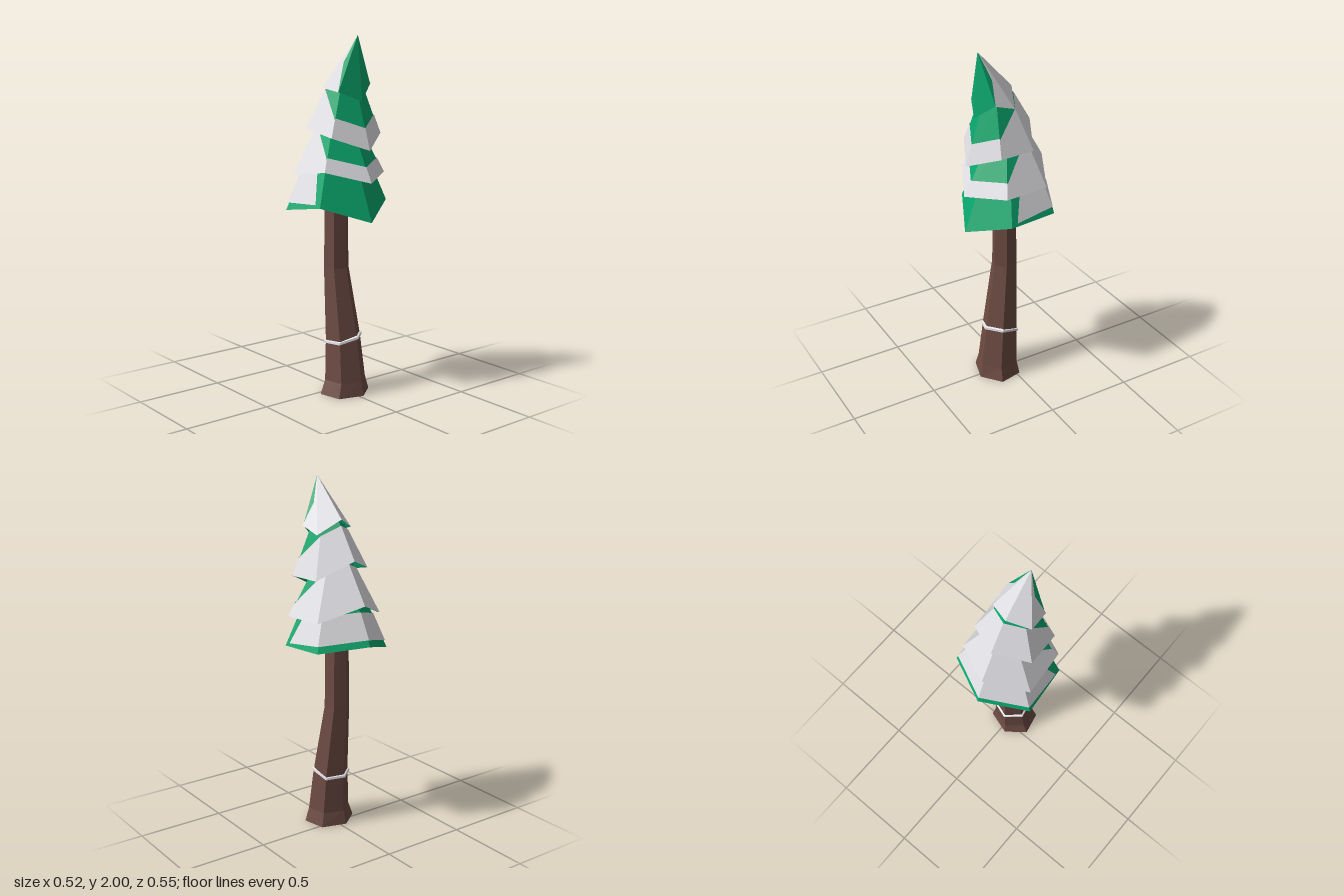
import * as THREE from 'three';

const bark = new THREE.MeshStandardMaterial({ color: 0x6d4b43, side: THREE.DoubleSide });
bark.name = 'bark brown';
const needles = new THREE.MeshStandardMaterial({ color: 0x08a76d, side: THREE.DoubleSide });
needles.name = 'needle green';
const snow = new THREE.MeshStandardMaterial({ color: 0xe2e1e6, side: THREE.DoubleSide });
snow.name = 'snow white';

const V = (x, y, z) => new THREE.Vector3(x, y, z);

function facetedMesh(name, points, material) {
  const geometry = new THREE.BufferGeometry().setFromPoints(points);
  geometry.computeVertexNormals();
  const mesh = new THREE.Mesh(geometry, material);
  mesh.name = name;
  return mesh;
}

// Twisted hexagon; corners run front, right front, right back, back, left back, left front.
function hexagon(x, z, rx, rz, heights, twist) {
  return heights.map((y, i) => {
    const angle = THREE.MathUtils.degToRad(twist + 60 * i);
    return V(x + rx * Math.sin(angle), y, z + rz * Math.cos(angle));
  });
}

// Joins six-sided rings from bottom to top into an open shell.
function loft(rings) {
  const points = [];
  for (let i = 0; i < 6; i++) {
    const j = (i + 1) % 6;
    for (let r = 0; r + 1 < rings.length; r++) {
      const a = rings[r][i], b = rings[r][j], c = rings[r + 1][j], d = rings[r + 1][i];
      points.push(a, b, c, a, c, d);
    }
  }
  return points;
}

// Snow outlines on one face, as [along the hem, up towards the tip].
const sheet = (from, top) => [[1, from], [1, top], [0, top], [0, from]];
const mirrored = ([first, ...rest]) => [first, ...rest.reverse()].map(([u, s]) => [1 - u, s]);

// One layer of branches: a leaning, cut-off hollow cone with a snow skin.
// band is the height of the snow strip in front; sill and top bound the snow behind.
function buildTier({ name, x, z, rx, rz, heights, tip, cut, band, sill, top, side }) {
  const group = new THREE.Group();
  group.name = name;
  const hem = hexagon(x, z, rx, rz, heights, 4);
  const upper = hem.map(p => p.clone().lerp(tip, cut));
  group.add(facetedMesh(name + 'Branches', loft([hem, upper]), needles));

  const outer = hexagon(x, z, rx * 1.03, rz * 1.03, heights, 4);
  const peak = tip.clone();
  if (cut < 1) peak.y += 0.008;
  const front = band > 0 ? sheet(0, band) : [];
  const back = sheet(sill, top);
  const points = [];
  [front, side, back, back, mirrored(side), front].forEach((outline, i) => {
    const loop = outline.map(([u, s]) =>
      outer[i].clone().lerp(outer[(i + 1) % 6], u).lerp(peak, s));
    for (let k = 1; k + 1 < loop.length; k++) points.push(loop[0], loop[k], loop[k + 1]);
  });
  group.add(facetedMesh(name + 'Snow', points, snow));
  return group;
}

export function createModel() {
  const tree = new THREE.Group();
  tree.name = 'snowyTree';

  // Bent hollow trunk with flared foot
  const trunkRings = [
    [-0.005, 0, 0.07, 0.148, 0.134], [-0.002, 0.08, 0.07, 0.121, 0.119],
    [-0.004, 0.32, 0.053, 0.103, 0.103], [-0.02, 0.72, 0.012, 0.073, 0.073],
    [-0.018, 1.35, 0.01, 0.064, 0.066],
  ].map(([x, y, z, rx, rz]) => hexagon(x, z, rx, rz, Array(6).fill(y), 11));
  tree.add(facetedMesh('trunk', loft(trunkRings), bark));

  // Uneven band around the trunk
  const bandHeights = [0.33, 0.33, 0.295, 0.3, 0.3, 0.305];
  const bandRings = [[0.1, -0.011], [0.114, -0.006], [0.112, 0.006], [0.098, 0.011]]
    .map(([r, dy]) => hexagon(-0.005, 0.053, r, r, bandHeights.map(y => y + dy), 11));
  tree.add(facetedMesh('trunkBand', loft(bandRings), snow));

  // Foliage, from the bottom up
  tree.add(buildTier({
    name: 'bottomTier', x: -0.008, z: 0, rx: 0.288, rz: 0.278,
    heights: [1.0, 1.09, 1.1, 1.125, 1.05, 1.09], tip: V(0, 1.735, 0), cut: 0.55,
    band: 0, sill: 0.06, top: 0.29, side: [[1, 0.06], [1, 0.29], [0.3, 0.3], [0.13, 0.03]],
  }));
  tree.add(buildTier({
    name: 'lowerMiddleTier', x: -0.008, z: 0.022, rx: 0.25, rz: 0.248,
    heights: [1.215, 1.25, 1.255, 1.34, 1.25, 1.28], tip: V(0, 1.74, 0.01), cut: 0.65,
    band: 0.16, sill: 0, top: 0.52, side: [[1, 0], [1, 0.52], [0.75, 0.47], [0, 0.14], [0, 0]],
  }));
  tree.add(buildTier({
    name: 'upperMiddleTier', x: -0.005, z: 0.057, rx: 0.205, rz: 0.199,
    heights: [1.39, 1.47, 1.47, 1.57, 1.5, 1.46], tip: V(0, 1.95, 0.09), cut: 0.53,
    band: 0.21, sill: 0, top: 0.46, side: [[1, 0], [1, 0.46], [0, 0.19], [0, 0]],
  }));
  tree.add(buildTier({
    name: 'topTier', x: -0.008, z: 0.088, rx: 0.135, rz: 0.117,
    heights: [1.65, 1.74, 1.7, 1.78, 1.72, 1.7], tip: V(-0.005, 2.0, 0.175), cut: 1,
    band: 0, sill: 0, top: 1, side: [[1, 0], [1, 1], [0.55, 0.5], [0, 0]],
  }));
  return tree;
}
